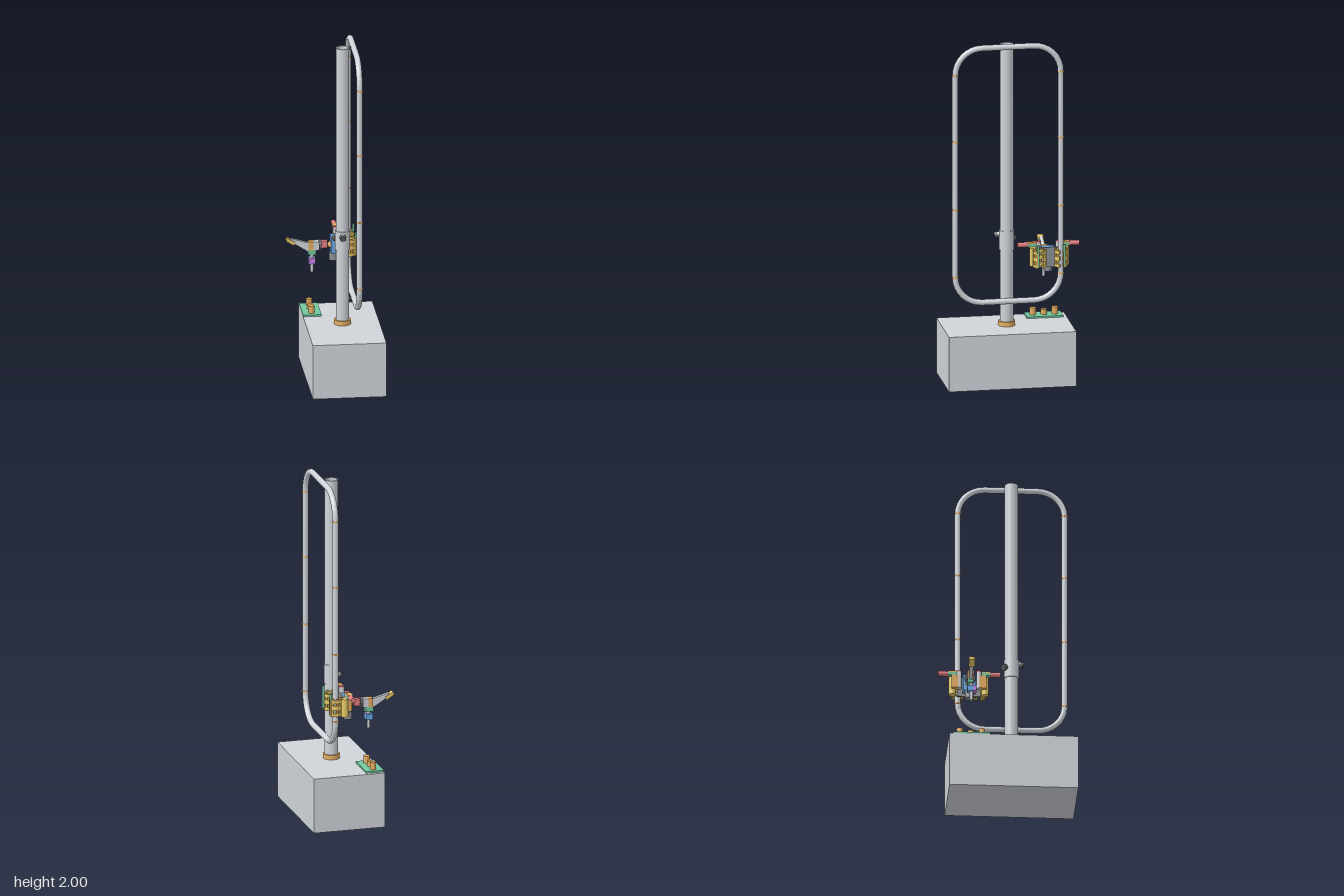
import * as THREE from 'three';

const mat = (name, color, side = THREE.FrontSide) => {
  const m = new THREE.MeshStandardMaterial({ color, side });
  m.name = name;
  return m;
};

export function createModel() {
  const root = new THREE.Group();
  root.name = 'loopStand';
  const steel = mat('steel grey', 0xd0d4da, THREE.DoubleSide);
  const iron = mat('mid grey', 0x8f9298);
  const dark = mat('dark grey', 0x66676a);
  const orange = mat('bronze orange', 0xe9b062);
  const yellow = mat('brass yellow', 0xe8cb68);
  const green = mat('green', 0x72caa0);
  const blue = mat('blue', 0x68a8e6);
  const red = mat('red', 0xe47f84);
  const purple = mat('purple', 0xc888ee);

  const add = (name, geo, m, x = 0, y = 0, z = 0, parent = root) => {
    const mesh = new THREE.Mesh(geo, m);
    mesh.name = name;
    mesh.position.set(x, y, z);
    parent.add(mesh);
    return mesh;
  };
  // Box given by its limits on each axis
  const box = (name, m, [x0, x1], [y0, y1], [z0, z1], parent) =>
    add(name, new THREE.BoxGeometry(x1 - x0, y1 - y0, z1 - z0), m,
      (x0 + x1) / 2, (y0 + y1) / 2, (z0 + z1) / 2, parent);
  // Cylinder between two points, optionally lengthened at both ends
  const rod = (name, m, a, b, r, parent, extra = 0) => {
    const p = new THREE.Vector3(...a), q = new THREE.Vector3(...b);
    const d = q.clone().sub(p);
    const mesh = add(name, new THREE.CylinderGeometry(r, r, d.length() + extra * 2, 28), m, 0, 0, 0, parent);
    mesh.position.copy(p).add(q).multiplyScalar(0.5);
    mesh.quaternion.setFromUnitVectors(new THREE.Vector3(0, 1, 0), d.normalize());
  };
  // Vertical pipe with a real bore
  const pipe = (name, m, x, z, y0, y1, ro, ri) => {
    const s = new THREE.Shape().absarc(0, 0, ro, 0, Math.PI * 2);
    s.holes.push(new THREE.Path().absarc(0, 0, ri, 0, Math.PI * 2, true));
    const g = new THREE.ExtrudeGeometry(s, { depth: y1 - y0, bevelEnabled: false, curveSegments: 32 });
    g.rotateX(-Math.PI / 2);
    add(name, g, m, x, y0, z);
  };

  // Base block
  box('base', steel, [-0.168, 0.254], [0, 0.323], [-0.342, 0.394]);

  // Hollow mast with foot collar, sliding sleeve and two tilted knobs
  const MX = 0.043, MZ = 0.025;
  pipe('mast', steel, MX, MZ, 0.323, 1.985, 0.038, 0.03);
  pipe('footCollar', orange, MX, MZ, 0.323, 0.35, 0.048, 0.037);
  pipe('sleeve', steel, MX, MZ, 0.77, 0.885, 0.043, 0.037);
  [[[0.041, 0.866, 0.055], [0.039, 0.86, 0.076], [0.038, 0.853, 0.094]],
    [[0.022, 0.835, 0], [0.014, 0.83, -0.01], [0, 0.823, -0.024]]].forEach(([a, b, c]) => {
    rod('knobStem', steel, a, b, 0.014);
    rod('knob', dark, b, c, 0.018);
  });

  // Upright pipe loop made of straight runs and segmented bends
  const LX = 0.107, Z0 = -0.277, Z1 = 0.333, Y0 = 0.48, Y1 = 1.983, R = 0.155, T = 0.017;
  const loop = new THREE.Group();
  loop.name = 'pipeLoop';
  root.add(loop);
  [Y0, Y1].forEach((y) => {
    rod('crossRun', steel, [LX, y, Z0 + R], [LX, y, Z1 - R], T, loop);
    box('mastClip', dark, [0.076, 0.098], [y - 0.012, y + 0.004], [0.016, 0.034]);
  });
  [Z0, Z1].forEach((z, i) => {
    rod('uprightRun', steel, [LX, Y0 + R, z], [LX, Y1 - R, z], T, loop);
    [Y0 + R, 1.035, 1.437, Y1 - R].forEach((y) =>
      rod('jointRing', orange, [LX, y - 0.004, z], [LX, y + 0.004, z], T + 0.002, loop));
    const sz = i ? 1 : -1;
    [[Y0, -1], [Y1, 1]].forEach(([y, sy]) => {
      const cz = z - sz * R, cy = y - sy * R, N = 8;
      const at = (k) => {
        const a = (k / N) * Math.PI / 2;
        return [LX, cy + sy * R * Math.sin(a), cz + sz * R * Math.cos(a)];
      };
      for (let k = 0; k < N; k++) rod('bendSegment', steel, at(k), at(k + 1), T, loop, 0.0017);
    });
  });

  // Docking plate with three pegs
  box('dockPlate', green, [-0.168, -0.062], [0.323, 0.333], [-0.321, -0.111]);
  [[-0.28, 0.375], [-0.217, 0.362], [-0.153, 0.375]].forEach(([z, y]) =>
    rod('dockPeg', orange, [-0.115, 0.333, z], [-0.115, y, z], 0.018));

  // Tool arm: tapered side profile with a yellow jaw
  const arm = new THREE.Group();
  arm.name = 'toolArm';
  root.add(arm);
  const slab = (name, m, pts, z0, z1) => {
    const g = new THREE.ExtrudeGeometry(new THREE.Shape(pts.map((p) => new THREE.Vector2(...p))),
      { depth: z1 - z0, bevelEnabled: false });
    add(name, g, m, 0, 0, z0, arm);
  };
  slab('armBlade', steel, [[-0.228, 0.744], [-0.125, 0.678], [-0.1, 0.69], [-0.1, 0.738], [-0.135, 0.736], [-0.225, 0.762]],
    -0.228, -0.207);
  slab('jawTip', yellow, [[-0.255, 0.75], [-0.21, 0.722], [-0.202, 0.74], [-0.248, 0.768]], -0.235, -0.2);
  box('armBracket', orange, [-0.127, -0.097], [0.69, 0.741], [-0.237, -0.2], arm);
  box('toolMount', green, [-0.13, -0.085], [0.663, 0.692], [-0.236, -0.202], arm);
  rod('toolShaft', steel, [-0.107, 0.64, -0.213], [-0.107, 0.665, -0.213], 0.01, arm);
  box('toolMotor', blue, [-0.127, -0.088], [0.613, 0.646], [-0.236, -0.203], arm);
  box('toolSensor', purple, [-0.127, -0.088], [0.613, 0.646], [-0.203, -0.184], arm);
  rod('toolPin', steel, [-0.107, 0.56, -0.213], [-0.107, 0.613, -0.213], 0.009, arm);
  box('wristBody', steel, [-0.1, -0.065], [0.69, 0.741], [-0.238, -0.199], arm);
  rod('wristDisc', dark, [-0.068, 0.718, -0.217], [-0.054, 0.718, -0.217], 0.031, arm);
  box('wristLink', red, [-0.054, -0.018], [0.7, 0.743], [-0.229, -0.204], arm);
  add('wristBall', new THREE.SphereGeometry(0.022, 24, 16), orange, 0.006, 0.718, -0.217, arm);

  // Carriage body with its backing plate and centre spindle
  const CZ = -0.217;
  box('carriageBlock', blue, [0, 0.052], [0.675, 0.77], [CZ - 0.037, CZ + 0.037]);
  box('carriagePlate', iron, [0.052, 0.062], [0.658, 0.775], [CZ - 0.068, CZ + 0.068]);
  rod('carriageSpindle', iron, [0.017, 0.627, CZ], [0.017, 0.676, CZ], 0.024);

  // Split clamp collar, open towards the outer side
  const collar = (ro, ri, y0, y1) => {
    const s = new THREE.Shape();
    s.absarc(0, 0, ro, 0.35, Math.PI * 2 - 0.35, false);
    s.absarc(0, 0, ri, Math.PI * 2 - 0.35, 0.35, true);
    const g = new THREE.ExtrudeGeometry(s, { depth: y1 - y0, bevelEnabled: false, curveSegments: 24 });
    g.rotateX(-Math.PI / 2);
    g.translate(0, y0, 0);
    return g;
  };
  // Two mirrored grippers
  [-1, 1].forEach((s) => {
    const grip = new THREE.Group();
    grip.name = s < 0 ? 'rearGripper' : 'frontGripper';
    root.add(grip);
    const z = (d) => CZ + s * d;
    const span = (a, b) => [Math.min(z(a), z(b)), Math.max(z(a), z(b))];
    const gz = z(0.061);
    [[0.675, 0.692], [0.712, 0.736], [0.752, 0.77]].forEach(([a, b]) =>
      add('clampCollar', collar(0.038, 0.02, a, b), yellow, LX, 0, gz, grip));
    for (let k = 0; k < 7; k++) {
      const a = 0.7 + k * 0.8;
      const px = LX + 0.033 * Math.cos(a), pz = gz + 0.033 * Math.sin(a);
      rod('clampFinger', k % 2 ? orange : yellow, [px, 0.672, pz], [px, 0.777, pz], 0.006, grip);
    }
    box('clampArm', yellow, [0.06, 0.085], [0.69, 0.76], span(0.066, 0.09), grip);
    rod('clampPivot', yellow, [0.062, 0.67, z(0.094)], [0.062, 0.777, z(0.094)], 0.02, grip);
    rod('clampPin', green, [0.14, 0.68, z(0.075)], [0.14, 0.81, z(0.075)], 0.007, grip);
    box('clampJaw', orange, [0.122, 0.146], [0.675, 0.765], span(0.07, 0.083), grip);
    // Side actuator: green link with an orange cover, red rod and capped plunger
    box('actuatorLink', green, [0.02, 0.05], [0.777, 0.795], span(0.07, 0.122), grip);
    box('actuatorCover', orange, [0.02, 0.05], [0.795, 0.803], span(0.07, 0.122), grip);
    box('actuatorBracket', orange, [0.02, 0.05], [0.7, 0.777], span(0.06, 0.1), grip);
    rod('actuatorRod', red, [0.036, 0.789, z(0.115)], [0.036, 0.789, z(0.178)], 0.0145, grip);
    rod('actuatorPlunger', steel, [0.036, 0.7, z(0.056)], [0.036, 0.8, z(0.056)], 0.0145, grip);
    rod('plungerCap', red, [0.036, 0.8, z(0.056)], [0.036, 0.808, z(0.056)], 0.0145, grip);
  });
  return root;
}
